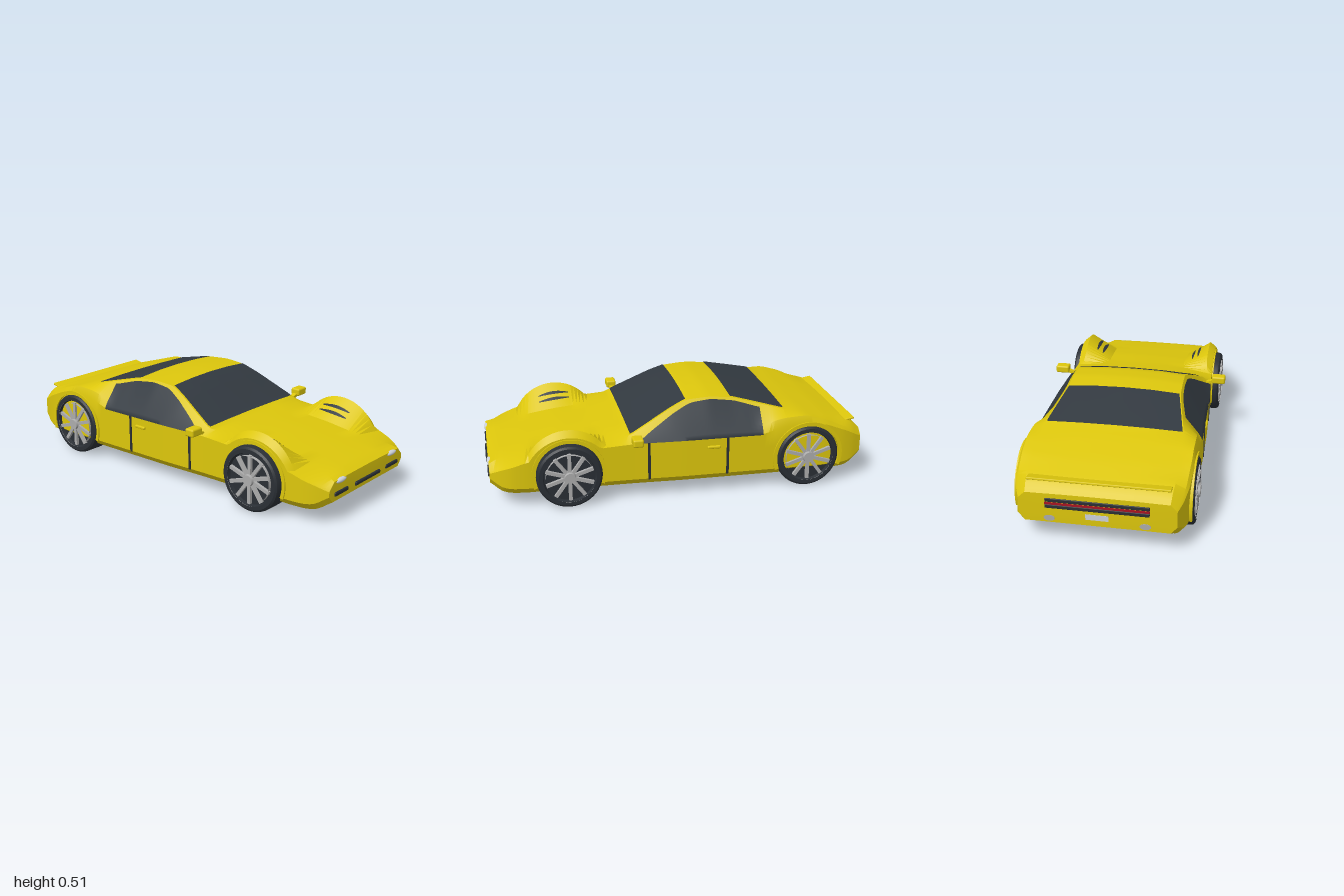
import * as THREE from 'three';
import { toCreasedNormals } from 'three/addons/utils/BufferGeometryUtils.js';
import { RoundedBoxGeometry } from 'three/addons/geometries/RoundedBoxGeometry.js';
import { ParametricGeometry } from 'three/addons/geometries/ParametricGeometry.js';

const mat = (name, color, side = THREE.FrontSide) => {
  const m = new THREE.MeshStandardMaterial({ color, side });
  m.name = name;
  return m;
};
const { lerp, clamp } = THREE.MathUtils;

// Reads a list of [x, value] pairs, slightly smoothed
function profile(points) {
  const at = (x) => {
    x = clamp(x, points[0][0], points[points.length - 1][0]);
    const i = Math.max(1, points.findIndex((p) => p[0] >= x));
    const [a, b] = [points[i - 1], points[i]];
    return lerp(a[1], b[1], (x - a[0]) / (b[0] - a[0]));
  };
  return (x) => (at(x - 0.02) + 2 * at(x) + at(x + 0.02)) / 4;
}

const width = profile([[-1, .375], [-.95, .4], [-.88, .418], [-.75, .428], [-.5, .428], [0, .418], [.25, .405], [.45, .4], [.8, .4], [.88, .39], [.94, .365], [1, .325]]);
const floor = profile([[-1, .125], [-.93, .08], [-.9, .075], [.88, .075], [.93, .08], [1, .13]]);
const shoulder = profile([[-1, .235], [-.9, .29], [-.78, .34], [-.68, .36], [-.55, .35], [-.43, .315], [.25, .31], [.42, .3], [.8, .255], [.93, .21], [1, .175]]);
const edgeZ = profile([[-1, .345], [-.9, .355], [-.56, .35], [-.28, .297], [-.04, .292], [.27, .36], [.45, .22], [.8, .23], [1, .3]]);
const edgeY = profile([[-1, .265], [-.95, .315], [-.8, .362], [-.65, .4], [-.56, .418], [-.4, .458], [-.28, .487], [-.16, .497], [-.04, .488], [.05, .45], [.27, .338], [.45, .312], [.6, .297], [.8, .265], [.95, .237], [1, .215]]);
const camber = profile([[-1, .004], [-.6, .006], [-.3, .014], [0, .014], [.25, .006], [1, .003]]);
const haunch = profile([[-1, 0], [-.85, .012], [-.65, .03], [-.5, .025], [-.4, 0], [1, 0]]);

// Half cross-section as [z, y], from the floor edge up to the centreline
function section(x) {
  const w = width(x), b = floor(x), rz = edgeZ(x), ry = edgeY(x), c = camber(x);
  const d = 0.23 ** 2 - (x - 0.59) ** 2;
  const fender = d > 0 ? 0.17 + Math.sqrt(d) : 0;
  const s = Math.max(shoulder(x), fender - 0.03);
  const p = Math.max(lerp(shoulder(x), ry, 0.2) + haunch(x), fender);
  return [[w - .03, b], [w, b + .035], [w, lerp(b + .035, s, .6)], [w, s], [lerp(w, rz, .2), p], [rz, ry], [rz / 2, ry + c * .75], [0, ry + c]];
}

// Height of the upper surface at z, and half width of the cabin side at y
function heightAt(x, z) {
  const s = section(x);
  for (let i = 4; i < s.length; i++) {
    if (z >= s[i][0]) return lerp(s[i - 1][1], s[i][1], (z - s[i - 1][0]) / (s[i][0] - s[i - 1][0]));
  }
  return s[7][1];
}
function sideAt(x, y) {
  const s = section(x);
  for (let i = 4; i < 6; i++) {
    if (y <= s[i][1]) return lerp(s[i - 1][0], s[i][0], clamp((y - s[i - 1][1]) / (s[i][1] - s[i - 1][1]), 0, 1));
  }
  return s[5][0];
}

function bodyGeometry() {
  const pos = [], index = [], N = 100, n = 15;
  for (let i = 0; i <= N; i++) {
    const x = lerp(-.995, .988, i / N), half = section(x);
    const ring = [...half, ...half.slice(0, 7).reverse().map(([z, y]) => [-z, y])];
    ring.forEach(([z, y]) => pos.push(x, y, z));
  }
  for (let i = 0; i < N; i++) for (let j = 0; j < n; j++) {
    const a = i * n + j, b = i * n + (j + 1) % n, c = b + n, d = a + n;
    index.push(a, d, c, a, c, b);
  }
  // Nose and tail caps
  const tail = pos.length / 3, nose = tail + 1;
  pos.push(-.998, .18, 0, .991, .17, 0);
  for (let j = 0; j < n; j++) {
    const k = (j + 1) % n;
    index.push(tail, j, k, nose, N * n + k, N * n + j);
  }
  const g = new THREE.BufferGeometry();
  g.setAttribute('position', new THREE.Float32BufferAttribute(pos, 3));
  g.setIndex(index);
  return toCreasedNormals(g, 0.45);
}

export function createModel() {
  const car = new THREE.Group();
  const paint = mat('yellow paint', 0xdcc60c);
  const glass = mat('dark glass', 0x323940, THREE.DoubleSide);
  const rubber = mat('black rubber', 0x2a2f35);
  const alloy = mat('grey alloy', 0xacacac);
  const lamp = mat('clear lamp', 0xcdd2da);
  const red = mat('red lamp', 0xa81422);
  const add = (name, geo, material, x = 0, y = 0, z = 0, parent = car) => {
    const m = new THREE.Mesh(geo, material);
    m.name = name;
    m.position.set(x, y, z);
    parent.add(m);
    return m;
  };
  const patch = (name, fn, nu, nv, material = glass) =>
    add(name, new ParametricGeometry((u, v, t) => t.set(...fn(u, v)), nu, nv), material);

  add('body', bodyGeometry(), paint);

  // Front and rear screens follow the cabin surface
  const screen = (name, x0, x1) => patch(name, (u, v) => {
    const x = lerp(x0, x1, v), z = (u * 2 - 1) * (edgeZ(x) - .006);
    return [x, heightAt(x, Math.abs(z)) + .005, z];
  }, 12, 24);
  screen('windscreen', -.04, .265);
  screen('rearWindow', -.56, -.28);

  const windowTop = profile([[-.43, .435], [-.3, .472], [-.17, .488], [-.06, .476], [.03, .435], [.15, .365], [.235, .313]]);
  for (const s of [1, -1]) {
    const side = s > 0 ? 'left' : 'right';
    patch(side + 'SideWindow', (u, v) => {
      const x = lerp(-.43, .23, s > 0 ? u : 1 - u), y = lerp(.312, windowTop(x), v);
      return [x, y, s * (sideAt(x, y) + .005)];
    }, 30, 8);

    // Door seams and handle
    for (const x of [-.24, .175]) {
      add(side + 'DoorSeam', new THREE.BoxGeometry(.013, .205, .008), rubber, x, .21, s * width(x));
    }
    add(side + 'DoorHandle', new RoundedBoxGeometry(.07, .016, .016, 2, .006), paint, -.165, .265, s * (width(-.165) + .004));

    // Mirror on a short stem
    add(side + 'Mirror', new RoundedBoxGeometry(.055, .042, .075, 3, .01), paint, .243, .344, s * .453);
    const stem = add(side + 'MirrorStem', new THREE.BoxGeometry(.025, .016, .07), paint, .243, .325, s * .405);
    stem.rotation.x = -s * .35;

    // Vents on the inner slope of the front fender
    for (const z of [.272, .305]) {
      patch(side + 'FenderVent', (u, v) => {
        const x = lerp(.51, .68, v), w = z + (s > 0 ? u - .5 : .5 - u) * .016 * Math.sin(Math.PI * lerp(.1, .9, v));
        return [x, heightAt(x, w) + .004, s * w];
      }, 2, 16);
    }

    // Headlamp and lower side intake
    add(side + 'Headlamp', new THREE.SphereGeometry(1, 24, 12), lamp, .982, .213, s * .233).scale.set(.016, .013, .047);
    add(side + 'Intake', new RoundedBoxGeometry(.016, .022, .115, 3, .007), rubber, .988, .155, s * .232);
    const pipe = add(side + 'Exhaust', new THREE.CylinderGeometry(.016, .016, .02, 20), alloy, -.988, .143, s * .23);
    pipe.rotation.z = Math.PI / 2;
    pipe.scale.z = 1.7;
  }
  add('frontGrille', new RoundedBoxGeometry(.02, .02, .226, 3, .007), rubber, .99, .155, 0);

  // Tail panel, lamp strips, plate and spoiler
  for (const y of [.208, .242]) {
    add('tailSlot', new RoundedBoxGeometry(.012, .02, .5, 2, .004), rubber, -.994, y, 0);
  }
  add('tailLampStrip', new THREE.BoxGeometry(.01, .011, .5), red, -.995, .225, 0);
  add('tailPlate', new THREE.BoxGeometry(.008, .03, .11), lamp, -.995, .168, 0);
  add('spoiler', new RoundedBoxGeometry(.055, .012, .69, 2, .004), paint, -.94, .326, 0).rotation.z = -.2;

  // Wheels: tyre, rim, ten spokes and hub, built along y then turned outwards
  const V = (r, y) => new THREE.Vector2(r, y);
  const tyreGeo = toCreasedNormals(new THREE.LatheGeometry(
    [V(0, -.07), V(.15, -.07), V(.165, -.062), V(.17, -.045), V(.17, .05), V(.167, .062), V(.157, .07), V(.137, .07), V(.132, .052), V(0, .052)], 48), .6);
  const rimGeo = toCreasedNormals(new THREE.LatheGeometry(
    [V(.122, .052), V(.122, .071), V(.127, .075), V(.137, .073), V(.139, .066)], 48), .6);
  for (const [x, axle] of [[.59, 'front'], [-.68, 'rear']]) for (const s of [1, -1]) {
    const wheel = new THREE.Group();
    wheel.name = axle + (s > 0 ? 'Left' : 'Right') + 'Wheel';
    wheel.position.set(x, .17, s * .37);
    wheel.rotation.x = s * Math.PI / 2;
    add('tyre', tyreGeo, rubber, 0, 0, 0, wheel);
    add('rim', rimGeo, alloy, 0, 0, 0, wheel);
    add('hub', new THREE.CylinderGeometry(.028, .034, .032, 24), alloy, 0, .068, 0, wheel);
    for (let i = 0; i < 10; i++) {
      const a = (i + .5) * Math.PI / 5;
      add('spoke', new THREE.BoxGeometry(.1, .016, .018), alloy, Math.cos(a) * .077, .063, -Math.sin(a) * .077, wheel).rotation.y = a;
    }
    car.add(wheel);

    // Raised lip around the wheel opening
    const arch = new THREE.Shape();
    arch.absarc(0, 0, .192, -.35, Math.PI + .35, false);
    arch.absarc(0, 0, .173, Math.PI + .35, -.35, true);
    const lip = new THREE.ExtrudeGeometry(arch, { depth: .04, bevelEnabled: false, curveSegments: 32 });
    const outer = width(x) + .006;
    add(axle + 'ArchLip', toCreasedNormals(lip, .5), paint, x, .17, s > 0 ? outer - .04 : -outer);
  }
  return car;
}
